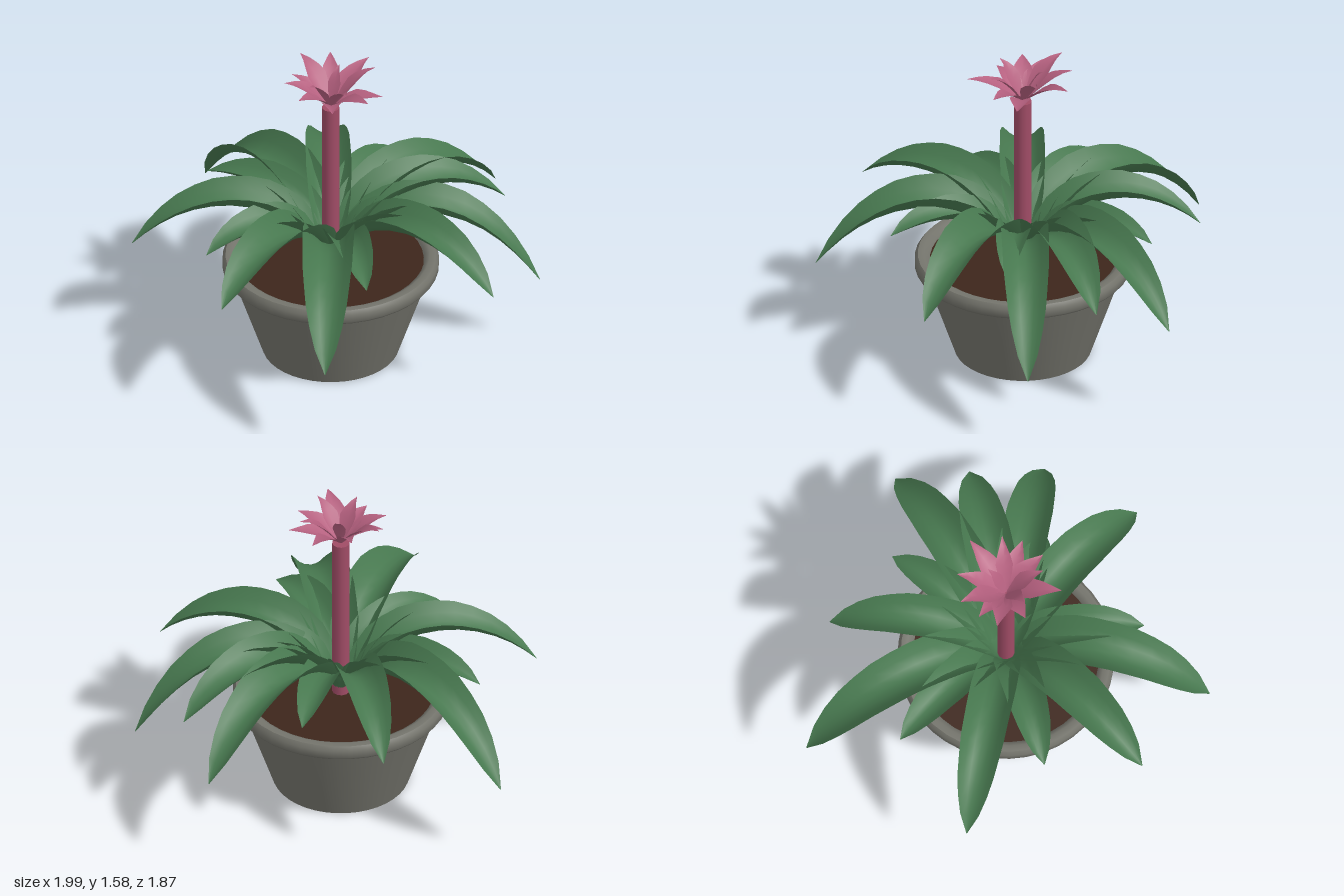
import * as THREE from 'three';
import { toCreasedNormals } from 'three/addons/utils/BufferGeometryUtils.js';

const CX = -0.03, CZ = -0.08; // axis of pot and stem

// Outlines as [position along blade, share of half width]
const LEAF = [[0, 0.6], [0.15, 0.92], [0.35, 1.02], [0.6, 0.97], [0.78, 0.78], [0.9, 0.5], [1, 0.02]];
const PETAL = [[0, 0.15], [0.45, 1], [0.6, 0.85], [1, 0.02]];

const paint = (color, side = THREE.FrontSide) => new THREE.MeshStandardMaterial({ color, side });

function part(parent, name, geometry, material, y = 0) {
  const mesh = new THREE.Mesh(geometry, material);
  mesh.name = name;
  mesh.position.y = y;
  parent.add(mesh);
  return mesh;
}

function widthAt(outline, u) {
  const k = Math.max(1, outline.findIndex(([t]) => u <= t));
  const [t0, w0] = outline[k - 1], [t1, w1] = outline[k];
  return w0 + (w1 - w0) * (u - t0) / (t1 - t0);
}

// Channelled blade: its midrib follows an arc towards the tip (x, z), its edges are lifted
function blade({ x, z, arc, halfWidth, outline, lift, rows = 12, cols = 6 }) {
  const R = Math.hypot(x, z), dx = x / R, dz = z / R;
  const curve = new THREE.CubicBezierCurve(...arc(R).map(([r, y]) => new THREE.Vector2(r, y)));
  const pos = [], index = [];
  for (let i = 0; i <= rows; i++) {
    const u = i / rows, p = curve.getPointAt(u);
    const w = halfWidth * widthAt(outline, u);
    for (let j = 0; j <= cols; j++) {
      const v = 2 * j / cols - 1;
      pos.push(dx * p.x + dz * w * v, p.y + lift(u) * w * v * v, dz * p.x - dx * w * v);
      if (i < rows && j < cols) {
        const a = i * (cols + 1) + j, b = a + cols + 1;
        index.push(a, b, a + 1, b, b + 1, a + 1);
      }
    }
  }
  const g = new THREE.BufferGeometry();
  g.setAttribute('position', new THREE.Float32BufferAttribute(pos, 3));
  g.setIndex(index);
  g.computeVertexNormals();
  return g;
}

export function createModel() {
  const model = new THREE.Group();
  model.name = 'pottedPlant';
  const plant = new THREE.Group();
  plant.name = 'plant';
  plant.position.set(CX, 0, CZ);
  model.add(plant);

  // Tapered pot with a rounded rim
  const profile = [[0, 0], [0.335, 0], [0.487, 0.45], [0.52, 0.455], [0.53, 0.468], [0.53, 0.508],
    [0.515, 0.528], [0.485, 0.53], [0.46, 0.515], [0.45, 0.48]].map(p => new THREE.Vector2(...p));
  part(plant, 'pot', toCreasedNormals(new THREE.LatheGeometry(profile, 40), 0.8),
    paint(0x74746c, THREE.DoubleSide));

  // Soil
  part(plant, 'soil', new THREE.CylinderGeometry(0.456, 0.45, 0.02, 40), paint(0x3d261b), 0.49);

  // Flower stem
  part(plant, 'stem', new THREE.CylinderGeometry(0.043, 0.043, 0.885, 12), paint(0xa04c66), 0.9425);

  // Leaves: tip x, tip z, tip height, half width
  const leafPaint = paint(0x47784f, THREE.DoubleSide);
  const outerLeaves = [
    [-0.74, -0.89, 0.43, 0.125], [-0.16, -0.94, 0.66, 0.11], [0.69, -0.85, 0.53, 0.12],
    [0.78, -0.5, 0.66, 0.12], [0.99, -0.18, 0.39, 0.115], [0.82, 0.34, 0.61, 0.12],
    [0.06, 0.93, 0.48, 0.125], [-0.47, 0.74, 0.7, 0.12], [-1.0, 0.0, 0.57, 0.11],
  ];
  const innerLeaves = [
    [-0.68, -0.43, 0.74, 0.1], [0.22, -0.73, 0.75, 0.095], [0.54, -0.04, 0.72, 0.09],
    [0.22, 0.55, 0.74, 0.1], [-0.6, 0.28, 0.71, 0.1],
  ];
  const addLeaves = (name, list, y1, y2) => list.forEach(([x, z, tipY, halfWidth], i) => {
    const arc = R => [[0.03, 0.53], [0.2 * R, y1], [0.67 * R, y2], [R, tipY]];
    part(plant, name + (i + 1), blade({
      x: x - CX, z: z - CZ, arc, halfWidth, outline: LEAF, lift: u => 1.2 - 0.75 * u,
    }), leafPaint);
  });
  addLeaves('outerLeaf', outerLeaves, 0.85, 0.95);
  addLeaves('innerLeaf', innerLeaves, 0.8, 0.86);

  // Flower petals: tip x and z from the stem, tip height, half width
  const petalPaint = paint(0xb5607f, THREE.DoubleSide);
  const flower = new THREE.Group();
  flower.name = 'flower';
  plant.add(flower);
  const petals = [
    [0.04, 0.27, 1.52, 0.055], [0.255, 0.01, 1.47, 0.055], [0.16, -0.23, 1.54, 0.055],
    [-0.03, -0.24, 1.55, 0.05], [-0.17, -0.18, 1.57, 0.055], [-0.225, 0.02, 1.52, 0.055],
    [-0.14, 0.14, 1.5, 0.055], [0.2, 0.13, 1.5, 0.055], [0.21, -0.08, 1.58, 0.045],
    [-0.2, -0.08, 1.51, 0.045], [0.1, 0.16, 1.56, 0.045], [-0.09, 0.12, 1.57, 0.045],
    [0.03, -0.1, 1.57, 0.035],
  ];
  petals.forEach(([x, z, tipY, halfWidth], i) => {
    const arc = R => [[0.004, 1.385], [0.28 * R, 1.45], [0.6 * R, tipY - 0.01], [R, tipY]];
    part(flower, 'petal' + (i + 1), blade({
      x, z, arc, halfWidth, outline: PETAL, lift: () => 0.4, rows: 6, cols: 2,
    }), petalPaint);
  });
  return model;
}
